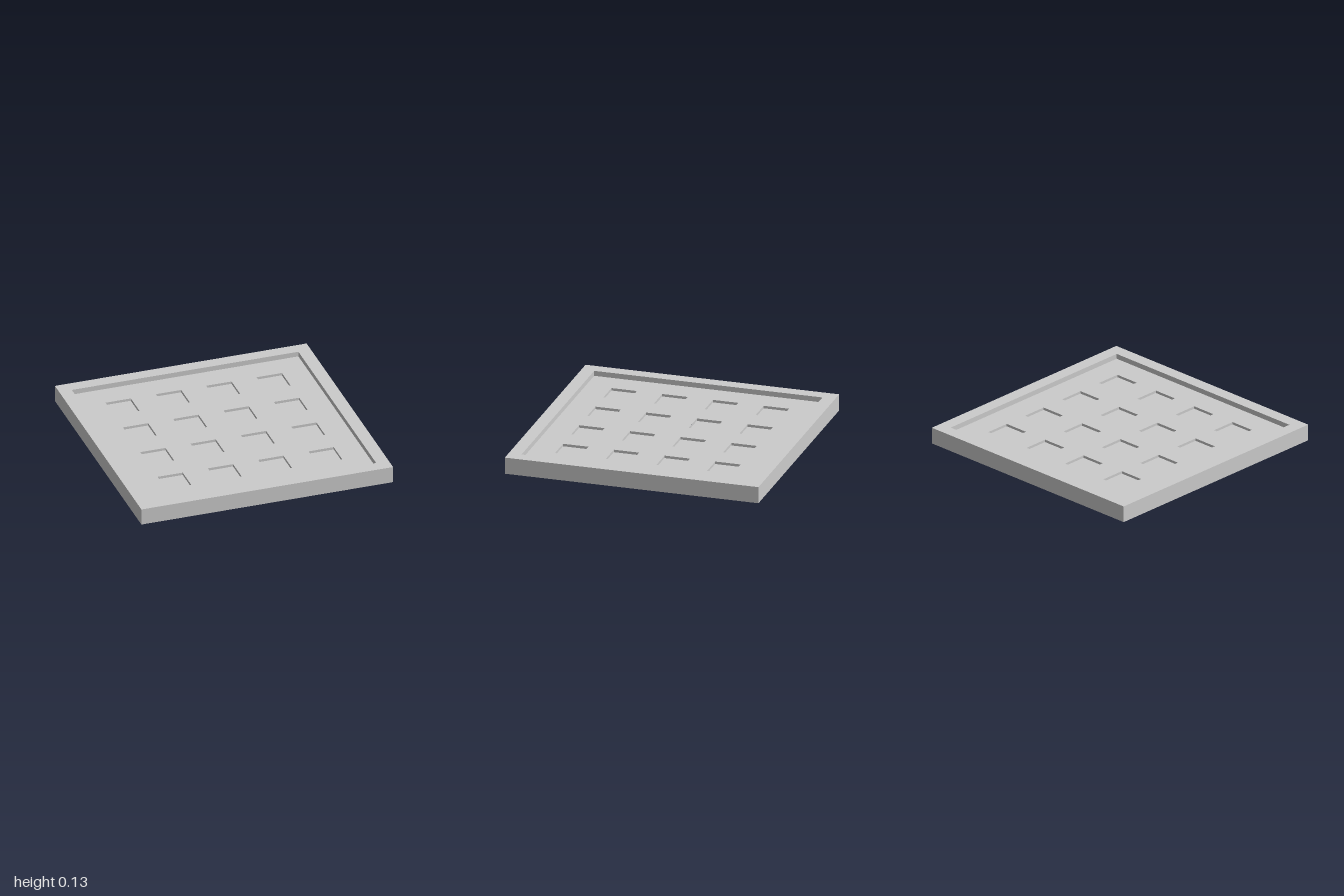
import * as THREE from 'three';
import { mergeGeometries } from 'three/addons/utils/BufferGeometryUtils.js';

const HEIGHT = 0.13, PANEL_Y = 0.09, POCKET_Y = 0.07;
const OUTER = 2, INNER = 1.8, POCKET = 0.2;
const CENTRES = [-0.6, -0.2, 0.2, 0.6];

// Trace a square centred on (x, y) into a Shape or Path
function square(path, size, x = 0, y = 0) {
  const h = size / 2;
  path.moveTo(x - h, y - h);
  path.lineTo(x + h, y - h);
  path.lineTo(x + h, y + h);
  path.lineTo(x - h, y + h);
  path.closePath();
  return path;
}

// Upward-facing square at height y, with square holes given as [size, x, z]
function face(size, y, holes = []) {
  const shape = square(new THREE.Shape(), size);
  for (const [s, x, z] of holes) shape.holes.push(square(new THREE.Path(), s, x, -z));
  return new THREE.ShapeGeometry(shape).rotateX(-Math.PI / 2).translate(0, y, 0);
}

// Four upright walls; dir = 1 faces outward, -1 faces inward
function walls(size, y0, y1, dir) {
  const sides = [0, 1, 2, 3].map((i) =>
    new THREE.PlaneGeometry(size, y1 - y0)
      .translate(0, (y0 + y1) / 2, dir * size / 2)
      .rotateY(i * Math.PI / 2));
  return mergeGeometries(sides);
}

export function createModel() {
  const group = new THREE.Group();
  const material = new THREE.MeshStandardMaterial({ color: 0xcccccc, flatShading: true });
  const add = (name, parts, x = 0, z = 0) => {
    const mesh = new THREE.Mesh(mergeGeometries(parts), material);
    mesh.name = name;
    mesh.position.set(x, 0, z);
    group.add(mesh);
  };

  // Raised border: outer sides, flat top and inner step
  add('rim', [
    walls(OUTER, 0, HEIGHT, 1),
    face(OUTER, HEIGHT, [[INNER, 0, 0]]),
    walls(INNER, PANEL_Y, HEIGHT, -1),
  ]);

  // Flat underside
  add('underside', [face(OUTER, 0).rotateX(Math.PI)]);

  // Sunken panel pierced by a 4 x 4 grid of square pockets
  const spots = CENTRES.flatMap((x) => CENTRES.map((z) => [POCKET, x, z]));
  add('panel', [face(INNER, PANEL_Y, spots)]);
  for (const [, x, z] of spots) {
    add('pocket', [walls(POCKET, POCKET_Y, PANEL_Y, -1), face(POCKET, POCKET_Y)], x, z);
  }
  return group;
}
